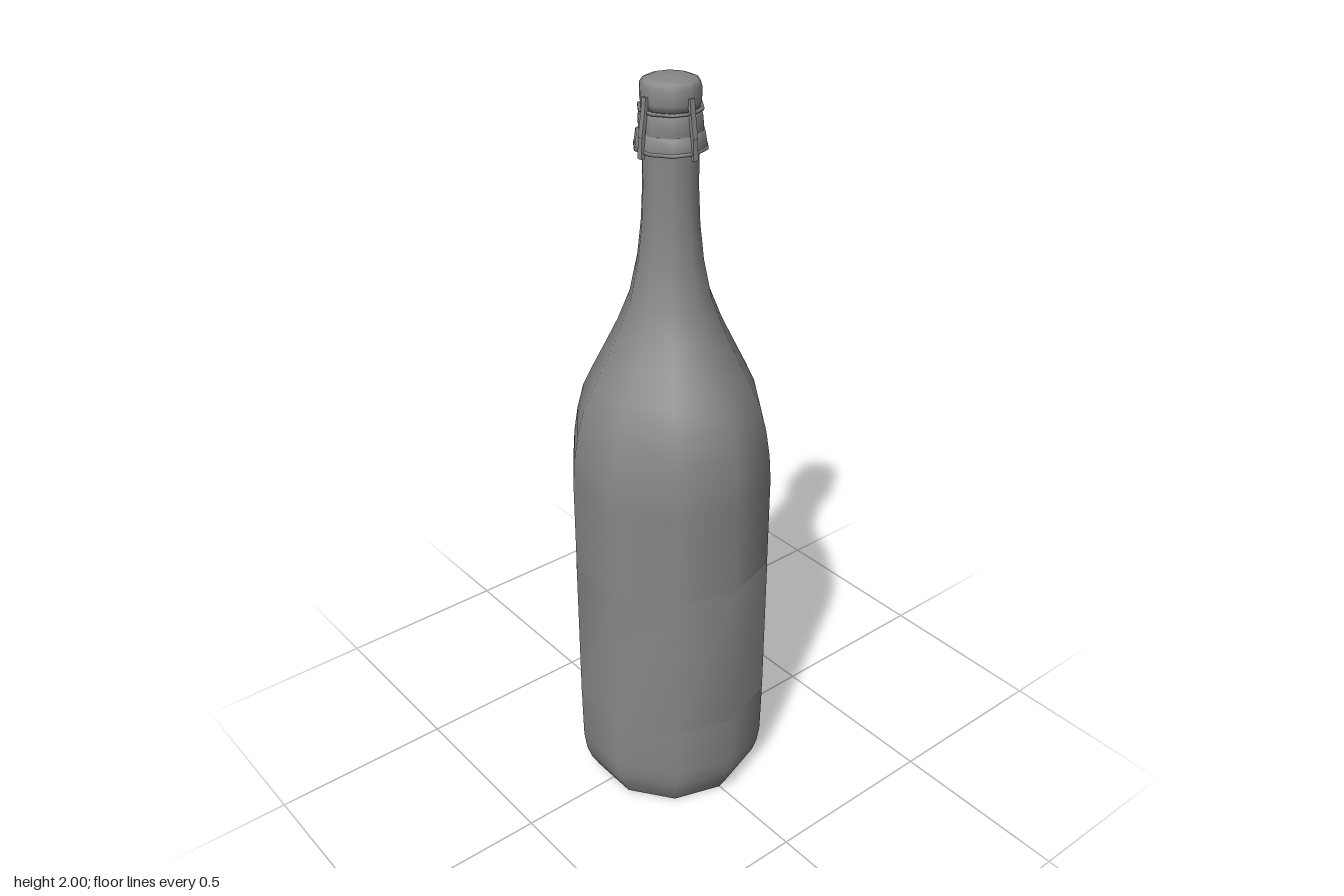
import * as THREE from 'three';

const SIDES = 10;

export function createModel() {
  const group = new THREE.Group();
  const material = new THREE.MeshStandardMaterial({ color: 0x878787, side: THREE.DoubleSide });

  function add(name, geometry, parent = group) {
    const mesh = new THREE.Mesh(geometry, material);
    mesh.name = name;
    parent.add(mesh);
    return mesh;
  }

  // Ten-sided turned part with a corner on the x axis; profile is [radius, y]
  function turned(name, profile) {
    const points = profile.map(([r, y]) => new THREE.Vector2(r, y));
    return add(name, new THREE.LatheGeometry(points, SIDES, Math.PI / 2));
  }

  // Glass: hollow base, then body, shoulder and neck
  turned('baseHollow', [[0, 0.075], [0.06, 0.07], [0.12, 0.048], [0.18, 0.016], [0.222, 0]]);
  turned('bottleBody', [
    [0.222, 0], [0.245, 0.04], [0.258, 0.08], [0.265, 0.13], [0.267, 0.25],
    [0.267, 0.97], [0.262, 1.04], [0.251, 1.11], [0.233, 1.18], [0.205, 1.24],
    [0.17, 1.31], [0.136, 1.38], [0.104, 1.46], [0.083, 1.56], [0.073, 1.65],
    [0.069, 1.74], [0.069, 1.83],
  ]);

  // Rolled lip at the mouth
  turned('lipCollar', [[0.069, 1.828], [0.085, 1.831], [0.088, 1.842], [0.084, 1.87], [0.076, 1.874]]);
  turned('lip', [[0.077, 1.87], [0.079, 1.89], [0.077, 1.912], [0.072, 1.926], [0.05, 1.928]]);

  // Cork with a domed head
  turned('cork', [[0.058, 1.92], [0.07, 1.932], [0.074, 1.945], [0.074, 1.978], [0.066, 1.99], [0.045, 1.997], [0, 2]]);

  // Label wrapped round the front, open across the back
  const label = new THREE.CylinderGeometry(0.2675, 0.2675, 0.43, 7, 1, true, -0.7 * Math.PI, 1.4 * Math.PI);
  label.computeVertexNormals();
  add('label', label).position.y = 0.495;

  // Wire hoops round the collar and under the cork
  for (const [name, r, y, h] of [
    ['lowerHoop', 0.09, 1.836, 0.008],
    ['upperHoop', 0.079, 1.926, 0.007],
  ]) {
    const i = r - 0.007;
    turned(name, [[i, y - h / 2], [r, y - h / 2], [r, y + h / 2], [i, y + h / 2], [i, y - h / 2]]);
  }

  // Four upright wires, each bent over the lip and up to the cork; path is [distance out, y]
  const path = [[0.087, 1.82], [0.085, 1.87], [0.077, 1.925], [0.073, 1.96]];
  for (let k = 0; k < 4; k++) {
    const wire = new THREE.Group();
    wire.name = 'uprightWire';
    wire.rotation.y = (k * Math.PI) / 2;
    for (let j = 0; j < path.length - 1; j++) {
      const [x0, y0] = path[j];
      const [x1, y1] = path[j + 1];
      const length = Math.hypot(x1 - x0, y1 - y0);
      const piece = add('wirePiece', new THREE.BoxGeometry(0.009, length, 0.014), wire);
      piece.position.set((x0 + x1) / 2, (y0 + y1) / 2, 0);
      piece.rotation.z = Math.atan2(x0 - x1, y1 - y0);
    }
    group.add(wire);
  }

  return group;
}
